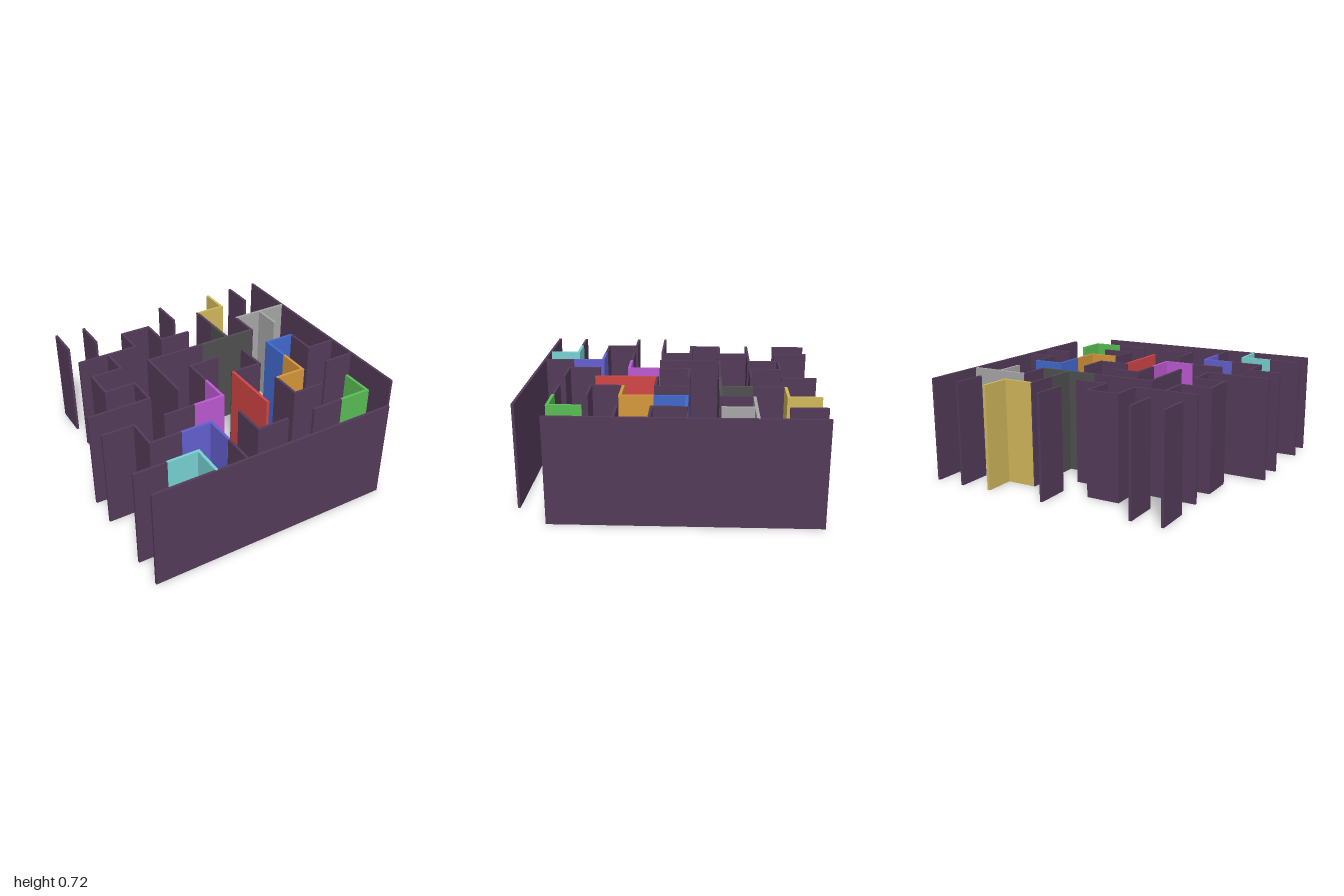
import * as THREE from 'three';

const HEIGHT = 0.72;
const HALF = 0.009; // half the wall thickness
const gridX = (i) => -0.988 + 0.2188 * i;
const gridZ = (j) => -0.9865 + 0.2195 * j;

// One wall: a run of upright panels through grid nodes [i, j].
// Corners are filled by extending each panel; free ends extend by `end`.
function makeWall(name, nodes, material, { half = HALF, end = HALF, inset = 0 } = {}) {
  const wall = new THREE.Group();
  wall.name = name;
  for (let k = 0; k < nodes.length - 1; k++) {
    const a = new THREE.Vector2(gridX(nodes[k][0]), gridZ(nodes[k][1]));
    const b = new THREE.Vector2(gridX(nodes[k + 1][0]), gridZ(nodes[k + 1][1]));
    const dir = b.clone().sub(a).normalize();
    // the second panel of a corner starts at the face of the first
    a.addScaledVector(dir, k === 0 ? -end : half);
    b.addScaledVector(dir, k === nodes.length - 2 ? end : half);
    const alongX = Math.abs(dir.x) > 0.5;
    const length = a.distanceTo(b);
    const panel = new THREE.Mesh(
      new THREE.BoxGeometry(alongX ? length : 2 * half, HEIGHT - 2 * inset, alongX ? 2 * half : length),
      material
    );
    panel.name = name + 'Panel';
    panel.position.set((a.x + b.x) / 2, HEIGHT / 2, (a.y + b.y) / 2);
    wall.add(panel);
  }
  return wall;
}

export function createModel() {
  const model = new THREE.Group();
  model.name = 'maze';
  const dark = new THREE.MeshStandardMaterial({ color: 0x543b59 });

  // Long outer walls
  model.add(makeWall('rightOuterWall', [[9, 0], [9, 8]], dark, { end: 0 }));
  model.add(makeWall('frontOuterWall', [[0, 9], [8, 9]], dark, { end: 0 }));

  // Short stubs along the back edge
  for (const i of [1, 2, 5, 8]) {
    model.add(makeWall('backStub', [[i, 0], [i, 1]], dark, { end: 0.012, inset: 0.001 }));
  }

  // Dark inner walls
  const innerWalls = [
    [[1, 2], [3, 2], [3, 1], [4, 1], [4, 2], [5, 2]],
    [[2, 2], [2, 3], [1, 3], [1, 4], [2, 4], [2, 5], [0, 5]],
    [[3, 5], [3, 3], [5, 3]],
    [[6, 1], [6, 2]],
    [[7, 2], [7, 3]],
    [[8, 4], [8, 5], [9, 5]],
    [[6, 6], [6, 7], [7, 7]],
    [[8, 6], [9, 6]],
    [[5, 5], [6, 5], [6, 4]],
    [[5, 4], [4, 4], [4, 5]],
    [[2, 6], [3, 6]],
    [[0, 6], [1, 6], [1, 7], [2, 7]],
    [[3, 8], [3, 9]],
    [[4, 7], [4, 8], [5, 8]],
    [[0, 8], [1, 8]],
    [[6, 8], [7, 8]],
  ];
  for (const nodes of innerWalls) {
    model.add(makeWall('innerWall', nodes, dark, { inset: 0.001 }));
  }

  // Coloured walls, a hair thicker so they cover the joints with dark walls
  const colouredWalls = [
    ['yellowWall', 0xd2b95c, [[[6, 1], [7, 1], [7, 0]]]],
    ['lightGreyWall', 0xa8a8a8, [[[7, 2], [9, 2]], [[8, 2], [8, 3]]]],
    ['darkGreyWall', 0x505050, [[[5, 3], [7, 3]], [[6, 3], [6, 2]]]],
    ['blueWall', 0x4169cd, [[[7, 5], [7, 4], [8, 4]]]],
    ['orangeWall', 0xd6983c, [[[7, 5], [7, 6], [6, 6]]]],
    ['redWall', 0xd24646, [[[5, 5], [5, 7]]]],
    ['magentaWall', 0xbe5ad2, [[[4, 5], [4, 6], [3, 6]]]],
    ['indigoWall', 0x6460d0, [[[2, 7], [3, 7], [3, 8]]]],
    ['cyanWall', 0x78d2d2, [[[1, 8], [2, 8], [2, 9]]]],
    ['greenWall', 0x5abe55, [[[7, 8], [8, 8], [8, 7]]]],
  ];
  for (const [name, color, runs] of colouredWalls) {
    const material = new THREE.MeshStandardMaterial({ color });
    for (const nodes of runs) {
      model.add(makeWall(name, nodes, material, { half: HALF + 0.001, end: 0 }));
    }
  }
  return model;
}
